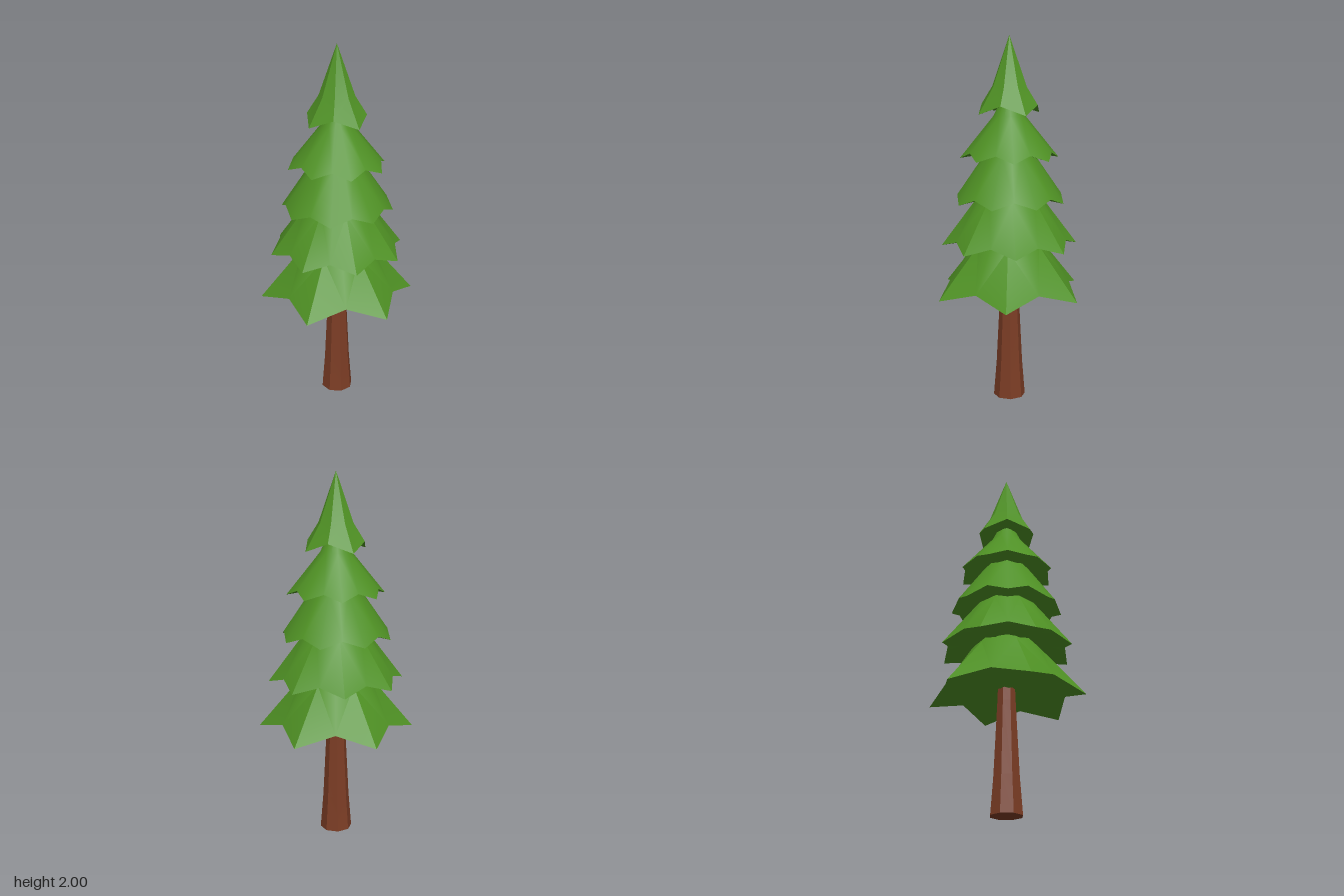
import * as THREE from 'three';
import { toCreasedNormals } from 'three/addons/utils/BufferGeometryUtils.js';

// Skins a list of rings [{ r(i), y(i) }] running from the underside centre up to the apex.
function skinRings(rings, count, offset) {
  const pos = [];
  const point = (ring, i) => {
    const k = i % count;
    const a = offset + (k / count) * Math.PI * 2;
    return [Math.sin(a) * ring.r(k), ring.y(k), Math.cos(a) * ring.r(k)];
  };
  for (let j = 0; j < rings.length - 1; j++) {
    const low = rings[j], high = rings[j + 1];
    for (let i = 0; i < count; i++) {
      const a = point(low, i), b = point(low, i + 1);
      const c = point(high, i + 1), d = point(high, i);
      // split each quad from the branch tip so the facets mirror about it
      if (low.r(0) === 0) pos.push(...a, ...c, ...d);
      else if (high.r(0) === 0) pos.push(...a, ...b, ...c);
      else if (i % 2 === 0) pos.push(...a, ...b, ...d, ...b, ...c, ...d);
      else pos.push(...a, ...b, ...c, ...a, ...c, ...d);
    }
  }
  const geo = new THREE.BufferGeometry();
  geo.setAttribute('position', new THREE.Float32BufferAttribute(pos, 3));
  return toCreasedNormals(geo, 0.55);
}

// One skirt of branches: low tips alternate with higher, shorter valleys.
function tierGeometry({ tips, turn, tip, valley, mid, apex }) {
  const even = (r, y) => ({ r: () => r, y: () => y });
  const rim = {
    r: (i) => (i % 2 ? valley[0] : tip[0]),
    y: (i) => (i % 2 ? valley[1] : tip[1]),
  };
  const rings = [even(0, valley[1] + 0.005), rim, even(...mid), even(0, apex)];
  return skinRings(rings, tips * 2, turn);
}

export function createModel() {
  const tree = new THREE.Group();
  tree.name = 'pineTree';

  const needles = new THREE.MeshStandardMaterial({ color: 0x4f9124 });
  needles.name = 'needle green';
  const bark = new THREE.MeshStandardMaterial({ color: 0x7c3d25 });
  bark.name = 'bark brown';

  // Trunk: flared eight-sided column
  const flat = (r, y) => ({ r: () => r, y: () => y });
  const trunk = new THREE.Mesh(
    skinRings([flat(0, 0), flat(0.088, 0), flat(0.072, 0.2), flat(0.052, 0.6), flat(0.048, 0.7), flat(0, 0.7)], 8, Math.PI / 8),
    bark
  );
  trunk.name = 'trunk';
  tree.add(trunk);

  // Branch tiers, bottom to top; pairs are [radius, height]
  const half = Math.PI / 8;
  const tiers = [
    { tips: 6, turn: 0, tip: [0.425, 0.61], valley: [0.33, 0.668], mid: [0.19, 0.89], apex: 1.12 },
    { tips: 8, turn: half, tip: [0.37, 0.88], valley: [0.318, 0.922], mid: [0.175, 1.14], apex: 1.36 },
    { tips: 8, turn: 0, tip: [0.302, 1.12], valley: [0.282, 1.16], mid: [0.13, 1.38], apex: 1.58 },
    { tips: 8, turn: half, tip: [0.266, 1.357], valley: [0.234, 1.392], mid: [0.085, 1.58], apex: 1.76 },
    { tips: 4, turn: 0, tip: [0.182, 1.592], valley: [0.156, 1.64], mid: [0.095, 1.735], apex: 2 },
  ];
  tiers.forEach((t, i) => {
    const tier = new THREE.Mesh(tierGeometry(t), needles);
    tier.name = `branchTier${i + 1}`;
    tree.add(tier);
  });

  return tree;
}
